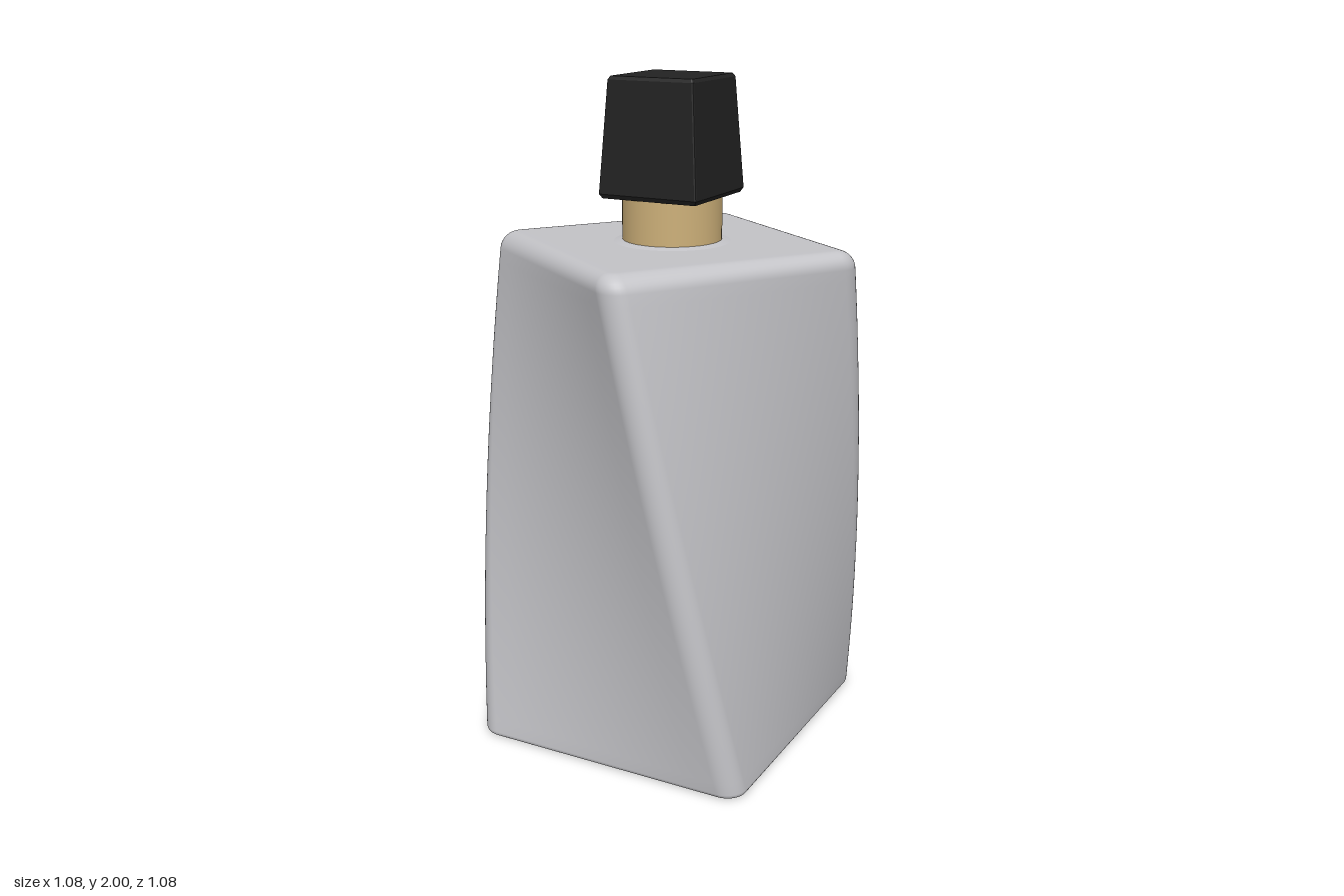
import * as THREE from 'three';

// One rounded-square outline: half-width a, corner radius r, turned by an angle
function ring(a, r, turn, arcSteps, sideSteps) {
  const pts = [];
  for (let k = 0; k < 4; k++) {
    const base = k * Math.PI / 2;
    const corner = [];
    for (let i = 0; i <= arcSteps; i++) {
      const t = (i / arcSteps) * Math.PI / 2;
      corner.push([a - r + r * Math.cos(t), a - r + r * Math.sin(t)]);
    }
    // straight side leading to the next corner
    for (let i = 1; i < sideSteps; i++) {
      corner.push([(a - r) * (1 - 2 * i / sideSteps), a]);
    }
    const c = Math.cos(base + turn), s = Math.sin(base + turn);
    corner.forEach(([x, z]) => pts.push([x * c - z * s, x * s + z * c]));
  }
  return pts;
}

// Skin a stack of sections { y, a, r, turn } and close both ends
function loft(sections, arcSteps, sideSteps) {
  const pos = [], idx = [];
  let n = 0;
  sections.forEach(({ y, a, r, turn = 0 }) => {
    const pts = ring(a, r, turn, arcSteps, sideSteps);
    n = pts.length;
    pts.forEach(([x, z]) => pos.push(x, y, z));
  });
  const last = (sections.length - 1) * n;
  const bottom = pos.length / 3, top = bottom + 1;
  pos.push(0, sections[0].y, 0, 0, sections[sections.length - 1].y, 0);
  for (let j = 0; j < n; j++) {
    const k = (j + 1) % n;
    for (let o = 0; o < last; o += n) {
      idx.push(o + j, o + n + j, o + k, o + k, o + n + j, o + n + k);
    }
    idx.push(bottom, j, k, top, last + k, last + j);
  }
  const geo = new THREE.BufferGeometry();
  geo.setAttribute('position', new THREE.Float32BufferAttribute(pos, 3));
  geo.setIndex(idx);
  geo.computeVertexNormals();
  return geo;
}

// Twisted bottle with softly rounded rims
function bottleGeometry() {
  const H = 1.522, TWIST = THREE.MathUtils.degToRad(36);
  const lowRim = 0.016, highRim = 0.05, sections = [];
  const add = (y, inset) => {
    const t = y / H;
    const a = THREE.MathUtils.lerp(0.447, 0.404, t) - inset;
    sections.push({ y, a, r: Math.max(0.065 - inset, 0.012), turn: TWIST * t });
  };
  add(0, 0.06);
  for (let i = 0; i <= 4; i++) {
    const q = (i / 4) * Math.PI / 2;
    add(lowRim * (1 - Math.cos(q)), lowRim * (1 - Math.sin(q)));
  }
  for (let i = 1; i < 40; i++) add(THREE.MathUtils.lerp(lowRim, H - highRim, i / 40), 0);
  for (let i = 0; i <= 8; i++) {
    const q = (i / 8) * Math.PI / 2;
    add(H - highRim * (1 - Math.sin(q)), highRim * (1 - Math.cos(q)));
  }
  add(H, 0.07);
  return loft(sections, 10, 10);
}

export function createModel() {
  const glass = new THREE.MeshStandardMaterial({ color: 0xc3c3c7 });
  glass.name = 'paleGrey';
  const gold = new THREE.MeshStandardMaterial({ color: 0xcdb079 });
  gold.name = 'gold';
  const black = new THREE.MeshStandardMaterial({ color: 0x222222 });
  black.name = 'black';

  const group = new THREE.Group();
  group.name = 'bottle';
  const add = (name, geo, mat) => {
    const mesh = new THREE.Mesh(geo, mat);
    mesh.name = name;
    group.add(mesh);
    return mesh;
  };

  add('body', bottleGeometry(), glass);

  // Low shoulder where the neck meets the body
  add('shoulder', new THREE.CylinderGeometry(0.148, 0.18, 0.008, 48), glass).position.y = 1.524;

  // Metal collar
  add('neck', new THREE.CylinderGeometry(0.147, 0.147, 0.15, 48), gold).position.y = 1.592;

  // Tapered square cap with bevelled rims
  const cap = loft([
    { y: 1.655, a: 0.150, r: 0.004 },
    { y: 1.668, a: 0.158, r: 0.006 },
    { y: 1.990, a: 0.137, r: 0.006 },
    { y: 2.000, a: 0.130, r: 0.004 },
  ], 2, 1).toNonIndexed();
  cap.computeVertexNormals();
  add('cap', cap, black);

  return group;
}
